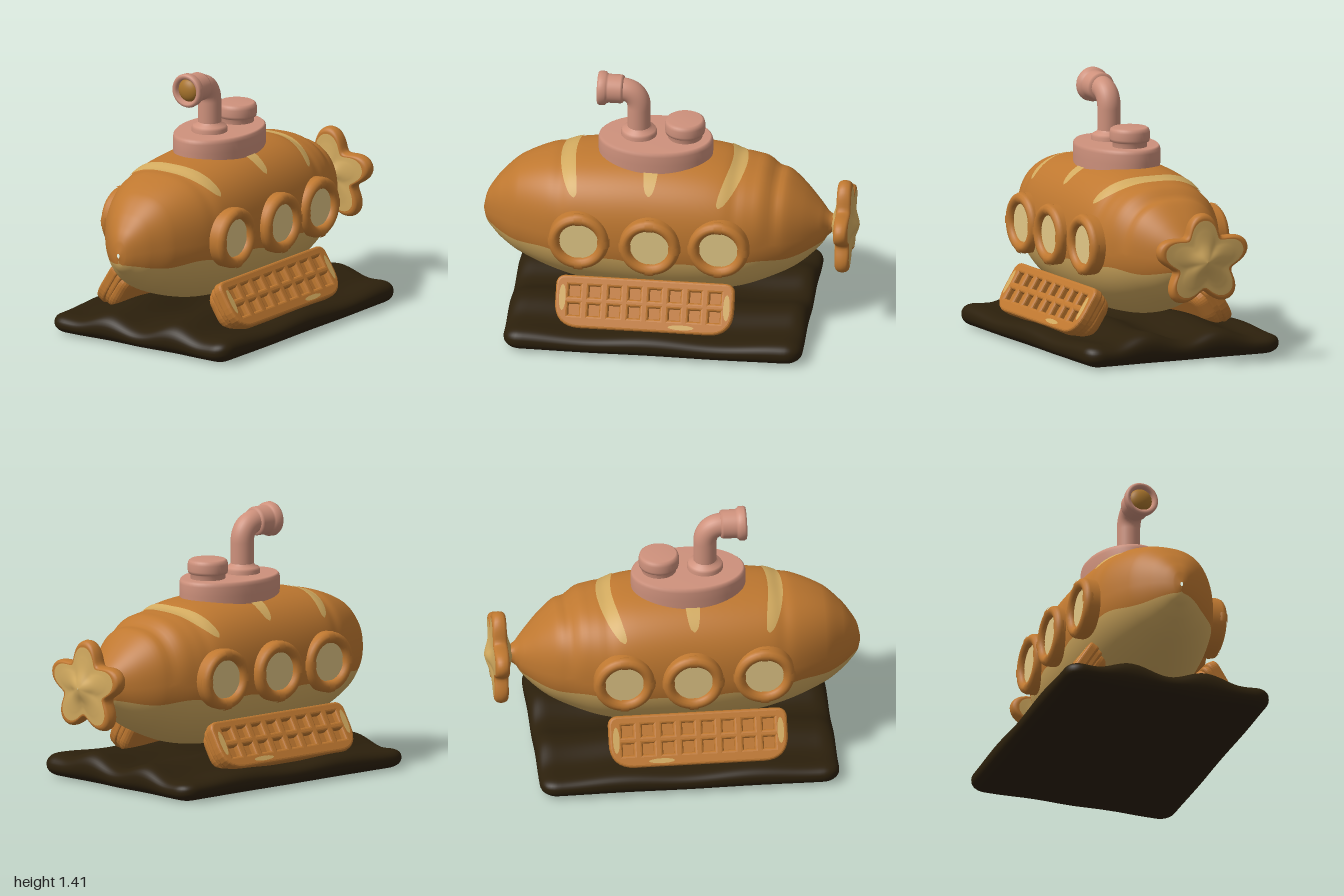
import * as THREE from 'three';
import { mergeVertices } from 'three/addons/utils/BufferGeometryUtils.js';
import { ParametricGeometry } from 'three/addons/geometries/ParametricGeometry.js';

const mat = (name, color) => new THREE.MeshStandardMaterial({ name, color });
const crust = mat('crust', 0xbf7830), cream = mat('cream', 0xd2aa5f), glass = mat('glass', 0xe2c786);
const pink = mat('pink icing', 0xce917c), board = mat('dark chocolate', 0x2c200c), amber = mat('amber lens', 0xa8742c);

function add(parent, name, geometry, material, x = 0, y = 0, z = 0) {
  const m = new THREE.Mesh(geometry, material);
  m.name = name;
  m.position.set(x, y, z);
  parent.add(m);
  return m;
}

// Smooth interpolation of column c in a table sorted by its first column
function interp(rows, x, c) {
  let i = 0;
  while (i < rows.length - 2 && x > rows[i + 1][0]) i++;
  const slope = (k) => {
    const a = rows[Math.max(k - 1, 0)], b = rows[Math.min(k + 1, rows.length - 1)];
    return (b[c] - a[c]) / (b[0] - a[0]);
  };
  const a = rows[i], b = rows[i + 1], h = b[0] - a[0], t = (x - a[0]) / h, t2 = t * t, t3 = t2 * t;
  return (2 * t3 - 3 * t2 + 1) * a[c] + (t3 - 2 * t2 + t) * h * slope(i)
    + (3 * t2 - 2 * t3) * b[c] + (t3 - t2) * h * slope(i + 1);
}

// Hull stations: x, top, bottom, half width
const HULL = [
  [-1, 0.56, 0.545, 0.005], [-0.985, 0.635, 0.485, 0.045], [-0.95, 0.7, 0.44, 0.095], [-0.9, 0.765, 0.39, 0.148],
  [-0.8, 0.85, 0.325, 0.228], [-0.6, 0.925, 0.248, 0.322], [-0.4, 0.955, 0.2, 0.362], [-0.1, 0.972, 0.175, 0.378],
  [0.2, 0.96, 0.185, 0.374], [0.4, 0.92, 0.22, 0.346], [0.6, 0.855, 0.3, 0.268], [0.7, 0.78, 0.36, 0.2],
  [0.8, 0.675, 0.455, 0.105], [0.84, 0.63, 0.515, 0.056], [0.87, 0.62, 0.53, 0.045], [0.91, 0.645, 0.505, 0.07],
];
const gauss = (x, c, w) => Math.exp(-(((x - c) / w) ** 2));

// Round below, a little squarer above
function hullPoint(x, a, lift, target) {
  const top = interp(HULL, x, 1), bottom = interp(HULL, x, 2), ca = Math.cos(a), sa = Math.sin(a);
  const full = ca > 0 ? (ca ** 2.45 + Math.abs(sa) ** 2.45) ** (-1 / 2.45) : 1;
  const groove = 0.008 * gauss(x, 0.49, 0.04) - 0.016 * gauss(x, 0.565, 0.035)
    - 0.01 * (gauss(x, -0.57, 0.04) + gauss(x, 0.36, 0.04));
  const k = lift + groove * Math.max(ca, 0);
  return target.set(x, (top + bottom) / 2 + ((top - bottom) / 2 + k) * ca * full, (interp(HULL, x, 3) + k) * sa * full);
}

// Angle from the top at which the crust gives way to the pale underside
function crustEdge(x) {
  const top = interp(HULL, x, 1), bottom = interp(HULL, x, 2);
  const y = 0.468 + 0.025 * Math.abs(x) + 0.012 * Math.sin(17 * x);
  return Math.acos(THREE.MathUtils.clamp((2 * y - top - bottom) / (top - bottom), -0.999, 1));
}

function buildHull(root) {
  const at = (v) => -0.999 + 1.9 * v ** 1.5;
  add(root, 'hullCrust', new ParametricGeometry((u, v, p) => {
    const x = at(v), e = crustEdge(x);
    hullPoint(x, (2 * u - 1) * e, 0, p);
  }, 64, 130), crust);
  add(root, 'hullUnderside', new ParametricGeometry((u, v, p) => {
    const x = at(v), e = crustEdge(x);
    hullPoint(x, e + u * 2 * (Math.PI - e), 0, p);
  }, 48, 130), cream);
  // Pale scores across the back: middle x, bend towards the ends, reach, half width
  for (const [c, bend, reach, half] of [[-0.545, 0.055, 0.93, 0.037], [-0.09, 0, 0.87, 0.038], [0.365, -0.085, 0.95, 0.036]]) {
    add(root, 'breadScore', new ParametricGeometry((u, v, p) => {
      const q = 2 * u - 1, w = 0.003 + half * Math.sqrt(Math.max(0, 1 - q ** 4));
      hullPoint(c + bend * q * q + (2 * v - 1) * w, q * reach, 0.004, p);
    }, 48, 8), cream);
  }
}

const lathe = (pts, n = 40) => new THREE.LatheGeometry(pts.map((p) => new THREE.Vector2(...p)), n);

function buildPorthole(root, x, front, side) {
  const g = new THREE.Group();
  g.name = 'porthole';
  g.position.set(x, 0.59, side * front);
  if (side < 0) g.rotation.y = Math.PI;
  root.add(g);
  const ring = lathe([[0.16, -0.11], [0.162, -0.03], [0.157, -0.014], [0.145, -0.003], [0.133, 0],
    [0.12, -0.003], [0.108, -0.013], [0.103, -0.028], [0.1, -0.06]]);
  add(g, 'portholeRing', ring.rotateX(Math.PI / 2), crust);
  add(g, 'portholeGlass', new THREE.CircleGeometry(0.104, 36), glass, 0, 0, -0.03);
  // Raised clamps around the ring
  for (let i = 0; i < 4; i++) {
    const clamp = add(g, 'portholeClamp', new THREE.TorusGeometry(0.133, 0.033, 10, 6, 0.3), crust, 0, 0, -0.029);
    clamp.rotation.z = i * Math.PI / 2 - 0.15;
  }
}

function waffleShape(w, h, rTop, rBottom) {
  const s = new THREE.Shape();
  s.moveTo(-w + rBottom, -h);
  s.lineTo(w - rBottom, -h);
  s.quadraticCurveTo(w, -h, w, -h + rBottom);
  s.lineTo(w, h - rTop);
  s.quadraticCurveTo(w, h, w - rTop, h);
  s.lineTo(-w + rTop, h);
  s.quadraticCurveTo(-w, h, -w, h - rTop);
  s.lineTo(-w, -h + rBottom);
  s.quadraticCurveTo(-w, -h, -w + rBottom, -h);
  return s;
}

function buildWaffle(root, side) {
  const g = new THREE.Group();
  g.name = 'waffleSkid';
  g.position.set(-0.1, 0.247, side * 0.417);
  g.rotation.y = side > 0 ? 0 : Math.PI;
  root.add(g);
  const slab = new THREE.Group();
  slab.rotation.x = -0.56;
  g.add(slab);
  const bevel = { bevelThickness: 0.014, bevelSize: 0.014, bevelSegments: 3, curveSegments: 8 };
  const frame = waffleShape(0.461, 0.125, 0.04, 0.12);
  for (let i = 0; i < 8; i++) for (const y of [-0.042, 0.056]) {
    const x = (i - 3.5) * 0.107, r = 0.043;
    frame.holes.push(new THREE.Path([[-r, -r], [-r, r], [r, r], [r, -r]].map(([a, b]) => new THREE.Vector2(x + a, y + b))));
  }
  add(slab, 'waffleGrid', new THREE.ExtrudeGeometry(frame, { depth: 0.03, ...bevel }), crust, 0, 0, -0.044);
  add(slab, 'waffleBack', new THREE.ExtrudeGeometry(waffleShape(0.455, 0.115, 0.04, 0.12), { depth: 0.026, ...bevel }),
    crust, 0, 0, -0.074);
  // Rounded swelling towards the hull
  const swell = { depth: 0.002, bevelThickness: 0.055, bevelSize: 0.06, bevelSegments: 6, curveSegments: 8 };
  add(slab, 'waffleSwell', new THREE.ExtrudeGeometry(waffleShape(0.405, 0.065, 0.02, 0.05), swell), crust, 0, 0, -0.092);
  // Pale worn patches
  for (const [x, y, w, h] of [[-0.437, 0.02, 0.018, 0.07], [0.437, 0.01, 0.018, 0.07], [0.2, -0.108, 0.07, 0.013]]) {
    add(slab, 'palePatch', new THREE.CircleGeometry(1, 12).scale(w, h, 1), cream, side * x, y, 0.003);
  }
}

function buildTower(root) {
  const base = lathe([[0.98, 0.88], [1, 0.98], [1, 1.03], [0.985, 1.047], [0.95, 1.056], [0, 1.056]], 56);
  add(root, 'towerBase', base.scale(0.305, 1, 0.21), pink, -0.085);
  add(root, 'hatch', lathe([[0.092, 1.04], [0.092, 1.08], [0.104, 1.086], [0.107, 1.1], [0.107, 1.135],
    [0.102, 1.152], [0.09, 1.16], [0, 1.16]]), pink, 0.07);
  add(root, 'periscopeFoot', lathe([[0.095, 1.04], [0.095, 1.075], [0.088, 1.088], [0.07, 1.095], [0.06, 1.11]]), pink, -0.175);
  // Bent pipe
  const path = new THREE.CurvePath(), v = (x, y) => new THREE.Vector3(x, y, 0);
  path.add(new THREE.LineCurve3(v(-0.175, 1.05), v(-0.175, 1.22)));
  path.add(new THREE.CubicBezierCurve3(v(-0.175, 1.22), v(-0.175, 1.28), v(-0.21, 1.32), v(-0.27, 1.32)));
  path.add(new THREE.LineCurve3(v(-0.27, 1.32), v(-0.31, 1.32)));
  add(root, 'periscopePipe', new THREE.TubeGeometry(path, 48, 0.062, 28), pink);
  // Flared eyepiece facing -x
  const eye = lathe([[0.05, 0], [0.072, 0.002], [0.077, 0.015], [0.077, 0.08], [0.08, 0.09], [0.09, 0.098],
    [0.092, 0.125], [0.086, 0.137], [0.074, 0.138], [0.064, 0.13], [0.06, 0.1]]);
  add(root, 'periscopeEyepiece', eye.rotateZ(Math.PI / 2), pink, -0.255, 1.32);
  const lens = new THREE.SphereGeometry(0.063, 24, 10, 0, Math.PI * 2, 0, Math.PI / 2).scale(1, 0.6, 1);
  add(root, 'periscopeLens', lens.rotateZ(Math.PI / 2), amber, -0.36, 1.32);
}

// Star propeller, swept as scaled star outlines: step, scale, x offset
function buildPropeller(root) {
  const sweep = (rows, n) => new ParametricGeometry((u, v, p) => {
    const a = -u * Math.PI * 2, t = interp(rows, v, 1);
    const lobes = 0.213 + 0.046 * Math.cos(5 * a) - 0.004 * Math.cos(10 * a);
    const r = t * THREE.MathUtils.lerp(0.213, lobes, Math.min(1, t * 1.6));
    p.set(0.922 + interp(rows, v, 2), 0.575 + r * Math.cos(a), 1.08 * r * Math.sin(a));
  }, 100, n);
  const face = [[0, 0.01, 0.078], [0.2, 0.15, 0.07], [0.5, 0.4, 0.05], [0.75, 0.65, 0.041], [1, 0.86, 0.038]];
  const back = face.map(([s, t, x]) => [1 - s, t, -x]).reverse();
  const rim = [[0, 0.86, 0.038], [0.2, 0.92, 0.036], [0.36, 0.975, 0.025], [0.5, 1, 0],
    [0.64, 0.975, -0.025], [0.8, 0.92, -0.036], [1, 0.86, -0.038]];
  add(root, 'propellerFace', sweep(face, 16), cream);
  add(root, 'propellerRim', sweep(rim, 18), crust);
  add(root, 'propellerBack', sweep(back, 16), cream);
}

// Rounded slab with a rippled top, lower along its long edges
function buildBoard(root) {
  const half = [0.795, 0.055, 0.575], r = [0.09, 0.05, 0.09];
  const geo = new THREE.BoxGeometry(1.59, 0.11, 1.15, 72, 10, 56);
  geo.deleteAttribute('uv');
  geo.deleteAttribute('normal');
  const pos = geo.attributes.position;
  for (let i = 0; i < pos.count; i++) {
    const p = [pos.getX(i), pos.getY(i), pos.getZ(i)];
    const core = p.map((c, k) => THREE.MathUtils.clamp(c, r[k] - half[k], half[k] - r[k]));
    const d = p.map((c, k) => (c - core[k]) / r[k]), len = Math.hypot(...d);
    const [x, y, z] = core.map((c, k) => c + d[k] / len * r[k]);
    const swell = Math.abs(z) < 0.42 ? 0.026 : 0.007;
    const ripple = swell * (1 - Math.cos(z * Math.PI * 2 / 0.42)) + 0.009 * Math.sin(9 * x + 3 * z);
    pos.setXYZ(i, x, y + 0.055 + ripple * (y + 0.055) / 0.11, z);
  }
  const smooth = mergeVertices(geo, 1e-5);
  smooth.computeVertexNormals();
  add(root, 'chocolateBoard', smooth, board, -0.045);
}

export function createModel() {
  const root = new THREE.Group();
  root.name = 'breadSubmarine';
  buildHull(root);
  for (const side of [1, -1]) {
    for (const [x, front] of [[-0.455, 0.402], [-0.075, 0.428], [0.29, 0.41]]) buildPorthole(root, x, front, side);
    buildWaffle(root, side);
  }
  buildTower(root);
  buildPropeller(root);
  buildBoard(root);
  return root;
}
